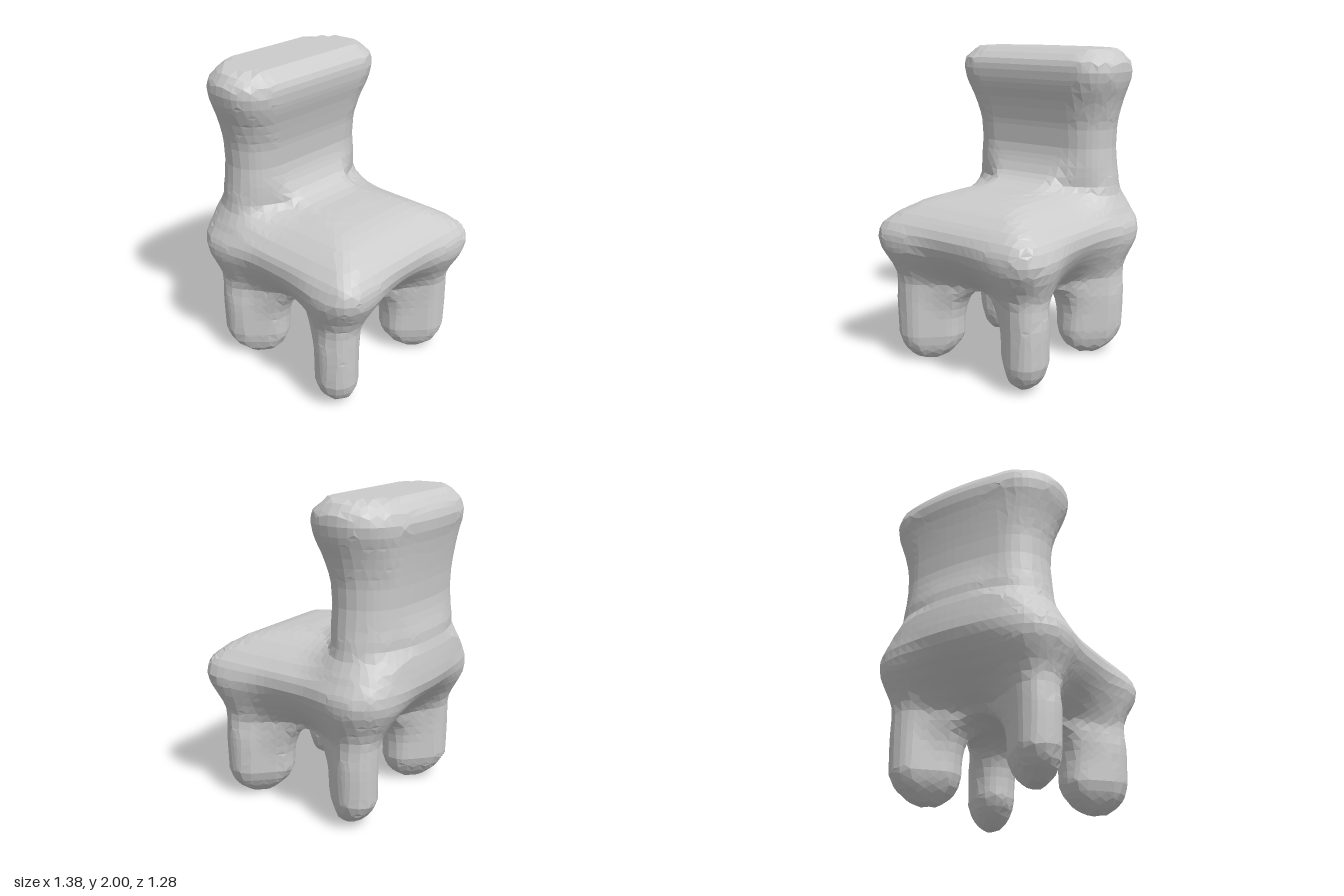
import * as THREE from 'three';

const BLEND = 0.28; // reach of the soft fillets between parts
const STEP = 0.06; // facet size
const ORIGIN = [-0.87, -0.15, -0.81];
const SIZE = [30, 38, 28];

// Section sizes at height y, interpolated between rows [y, ...values].
function sectionAt(rows, y) {
  const last = rows.length - 1;
  if (y <= rows[0][0]) return rows[0];
  if (y >= rows[last][0]) return rows[last];
  const i = rows.findIndex((row) => row[0] > y);
  const t = (y - rows[i - 1][0]) / (rows[i][0] - rows[i - 1][0]);
  return rows[i].map((v, k) => THREE.MathUtils.lerp(rows[i - 1][k], v, t));
}

// Closes a sideways distance off at the first and last row.
function capped(rows, side, y) {
  const end = Math.max(rows[0][0] - y, y - rows[rows.length - 1][0]);
  return Math.min(Math.max(side, end), 0) + Math.hypot(Math.max(side, 0), Math.max(end, 0));
}

// Stack of rounded rectangles with a bowed rear (-x) side, rows [y, xMin, xMax, half depth].
const block = (name, round, rows) => ({
  name,
  distance(x, y, z) {
    const [, x0, x1, hz] = sectionAt(rows, y);
    const rear = x0 + 0.26 * Math.min(z * z, 0.36);
    const hx = (x1 - rear) / 2;
    const r = Math.min(round, hx, hz);
    const a = Math.abs(x - (rear + x1) / 2) - hx + r;
    const b = Math.abs(z) - hz + r;
    const side = Math.hypot(Math.max(a, 0), Math.max(b, 0)) + Math.min(Math.max(a, b), 0) - r;
    return capped(rows, side, y);
  },
});

// Stack of ovals stretched towards the seat corner, rows [y, |x|, |z|, half width].
const leg = (name, sx, sz, rows) => ({
  name,
  distance(x, y, z) {
    const [, cx, cz, half] = sectionAt(rows, y);
    const dx = x * sx - cx, dz = z * sz - cz;
    const t = THREE.MathUtils.clamp((dx + dz) / 2, -0.3 * half, 0.3 * half);
    return capped(rows, Math.hypot(dx - t, dz - t) - 0.7 * half, y);
  },
});

// Leg from a rounded foot up into the seat.
const legRows = (foot, x) => [
  [0, foot, 0.375, 0.055],
  [0.05, foot, 0.376, 0.125],
  [0.1, (foot + x) / 2, 0.377, 0.165],
  [0.17, x, 0.378, 0.193],
  [0.4, x, 0.38, 0.197],
  [0.55, x + 0.005, 0.372, 0.195],
  [0.75, x + 0.03, 0.365, 0.19],
];

const parts = [
  // Thick backrest, waisted in the middle with a flat flared top
  block('backrest', 0.21, [
    [0.95, -0.58, -0.24, 0.47],
    [1.02, -0.6, -0.21, 0.51],
    [1.1, -0.618, -0.185, 0.527],
    [1.18, -0.625, -0.17, 0.518],
    [1.27, -0.617, -0.16, 0.507],
    [1.38, -0.61, -0.165, 0.498],
    [1.52, -0.615, -0.155, 0.505],
    [1.66, -0.63, -0.125, 0.54],
    [1.76, -0.645, -0.095, 0.575],
    [1.84, -0.665, -0.08, 0.598],
    [1.92, -0.64, -0.085, 0.593],
    [2.0, -0.57, -0.165, 0.53],
  ]),
  // Puffy seat with a crowned top
  block('seat', 0.1, [
    [0.53, -0.3, 0.33, 0.32],
    [0.62, -0.43, 0.46, 0.44],
    [0.7, -0.535, 0.565, 0.52],
    [0.78, -0.61, 0.64, 0.572],
    [0.86, -0.655, 0.675, 0.603],
    [0.93, -0.65, 0.665, 0.58],
    [1.0, -0.62, 0.6, 0.51],
    [1.06, -0.59, 0.5, 0.41],
    [1.1, -0.56, 0.38, 0.31],
    [1.12, -0.52, 0.16, 0.2],
  ]),
  leg('frontRightLeg', -1, 1, legRows(0.305, 0.328)),
  leg('backRightLeg', -1, -1, legRows(0.305, 0.328)),
  leg('frontLeftLeg', 1, 1, legRows(0.41, 0.393)),
  leg('backLeftLeg', 1, -1, legRows(0.41, 0.393)),
];

// All parts melted together with soft fillets.
function body(p) {
  return parts.map((part) => part.distance(...p)).reduce((a, b) => {
    const h = Math.max(1 - Math.abs(a - b) / BLEND, 0);
    return Math.min(a, b) - (h * h * BLEND) / 4;
  });
}

// Pulls a point onto the skin.
function settle(p) {
  const e = 0.015;
  for (let n = 0; n < 2; n++) {
    const f = body(p);
    const g = p.map((_, k) => {
      const shifted = (d) => body(p.map((v, m) => (m === k ? v + d : v)));
      return (shifted(e) - shifted(-e)) / (2 * e);
    });
    const len = Math.max(Math.hypot(...g), 0.5);
    const move = THREE.MathUtils.clamp(f / len, -STEP / 5, STEP / 5);
    p = p.map((v, k) => v - (move * g[k]) / len);
  }
  return p;
}

export function createModel() {
  const at = (c) => c.map((v, k) => ORIGIN[k] + v * STEP);
  const id = ([i, j, k]) => (i * SIZE[1] + j) * SIZE[2] + k;
  const add = (c, axis, d) => c.map((v, k) => (k === axis ? v + d : v));

  // Sample the body on a regular lattice
  const cells = [];
  for (let i = 0; i < SIZE[0]; i++) {
    for (let j = 0; j < SIZE[1]; j++) {
      for (let k = 0; k < SIZE[2]; k++) cells.push([i, j, k]);
    }
  }
  const values = cells.map((c) => body(at(c)));

  // One skin point per lattice cell, at the mean of its edge crossings
  const points = new Map();
  const skinPoint = (c) => {
    if (points.has(id(c))) return points.get(id(c));
    const sum = [0, 0, 0];
    let count = 0;
    for (let n = 0; n < 8; n++) {
      const from = c.map((v, k) => v + ((n >> k) & 1));
      for (let axis = 0; axis < 3; axis++) {
        if ((n >> axis) & 1) continue;
        const a = values[id(from)], b = values[id(add(from, axis, 1))];
        if (a < 0 === b < 0) continue;
        at(add(from, axis, a / (a - b))).forEach((v, k) => { sum[k] += v; });
        count++;
      }
    }
    points.set(id(c), settle(sum.map((v) => v / count)));
    return points.get(id(c));
  };

  // Join the points into quads, each given to its nearest part
  const faces = parts.map(() => []);
  for (const c of cells) {
    for (let axis = 0; axis < 3; axis++) {
      if (c[axis] + 1 >= SIZE[axis]) continue;
      const inside = values[id(c)] < 0;
      if (inside === values[id(add(c, axis, 1))] < 0) continue;
      const u = (axis + 1) % 3, v = (axis + 2) % 3;
      const quad = [c, add(c, u, -1), add(add(c, u, -1), v, -1), add(c, v, -1)].map(skinPoint);
      if (!inside) quad.reverse();
      const middle = [0, 1, 2].map((k) => quad.reduce((s, p) => s + p[k] / 4, 0));
      const near = parts.map((part) => part.distance(...middle));
      const owner = near.indexOf(Math.min(...near));
      [0, 1, 2, 0, 2, 3].forEach((n) => faces[owner].push(...quad[n]));
    }
  }

  const material = new THREE.MeshStandardMaterial({ color: 0xcccccc, flatShading: true });
  const group = new THREE.Group();
  group.name = 'chair';
  parts.forEach((part, n) => {
    const geometry = new THREE.BufferGeometry();
    geometry.setAttribute('position', new THREE.Float32BufferAttribute(faces[n], 3));
    geometry.computeVertexNormals();
    const mesh = new THREE.Mesh(geometry, material);
    mesh.name = part.name;
    group.add(mesh);
  });
  return group;
}
